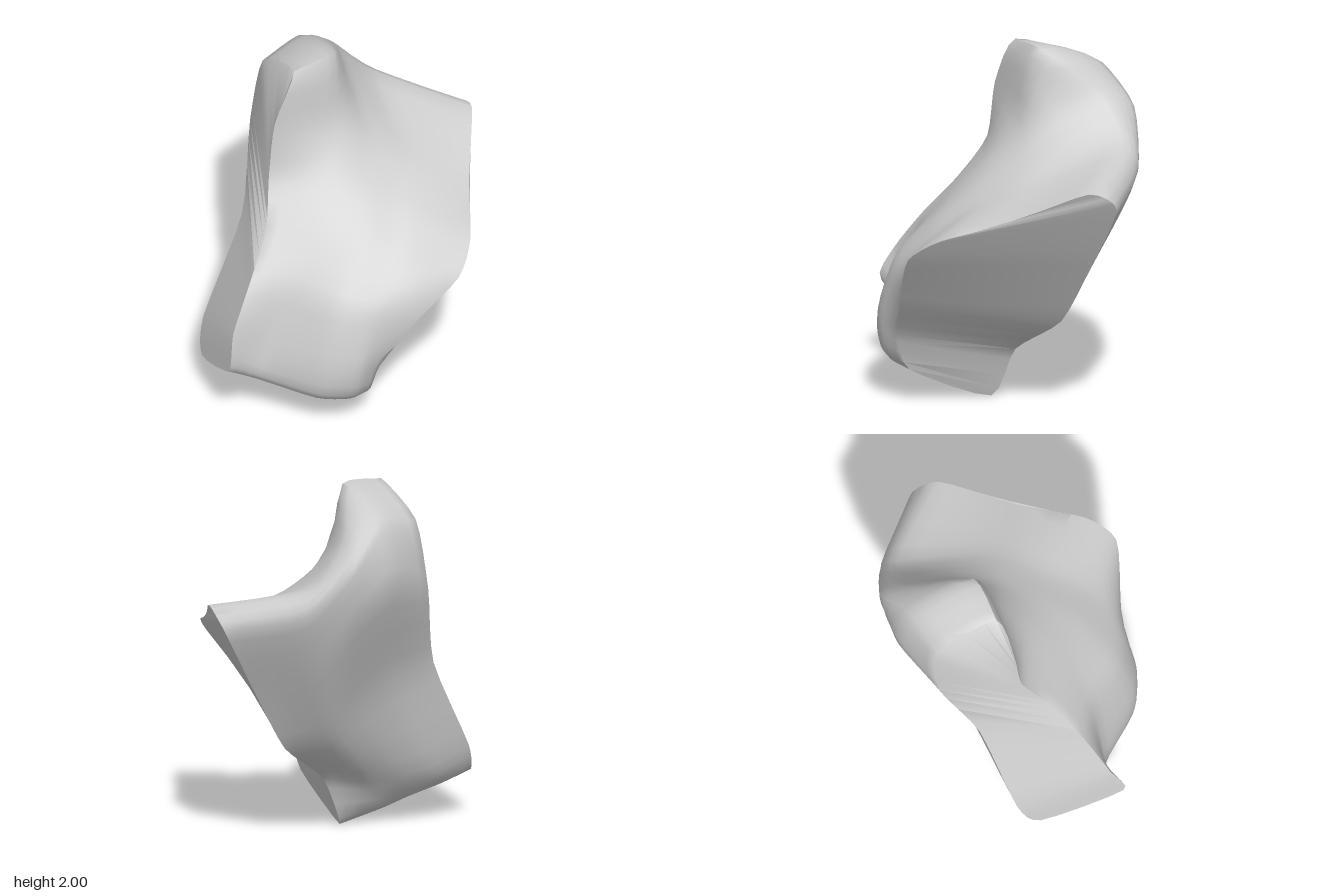
import * as THREE from 'three';
import { toCreasedNormals } from 'three/addons/utils/BufferGeometryUtils.js';

// Cross-sections from the broken right face to the left side.
// Each starts at the lowest corner, climbs the front and descends the back.
const brokenFace = [
  [-0.08, 0, -0.02], [-0.16, 0.2, 0.45], [-0.14, 0.42, 0.54], [0.03, 0.69, 0.62],
  [0.27, 0.98, 0.71], [0.42, 1.11, 0.59], [0.62, 1.22, 0.26], [0.86, 1.39, -0.09],
  [0.88, 1.28, -0.26], [0.66, 0.91, -0.23], [0.41, 0.53, -0.18], [0.08, 0.3, -0.08],
];
const shoulder = [
  [-0.32, 0.07, -0.09], [-0.3, 0.23, 0.49], [-0.28, 0.48, 0.57], [-0.17, 0.79, 0.54],
  [0.07, 1.01, 0.46], [0.2, 1.19, 0.26], [0.38, 1.33, 0.03], [0.5, 1.51, -0.51],
  [0.56, 1.37, -0.58], [0.43, 1, -0.47], [0.2, 0.6, -0.34], [-0.14, 0.26, -0.2],
];
const saddle = [
  [-0.46, 0.13, -0.15], [-0.47, 0.26, 0.42], [-0.44, 0.5, 0.48], [-0.33, 0.83, 0.43],
  [-0.1, 1.08, 0.31], [0.05, 1.27, 0.13], [0.2, 1.44, -0.08], [0.27, 1.75, -0.5],
  [0.31, 1.66, -0.7], [0.28, 1.33, -0.66], [0.09, 0.76, -0.41], [-0.28, 0.3, -0.29],
];
const horn = [
  [-0.62, 0.19, -0.22], [-0.68, 0.31, 0.17], [-0.66, 0.51, 0.19], [-0.49, 0.88, 0.2],
  [-0.28, 1.13, 0.13], [-0.12, 1.35, 0], [0.01, 1.6, -0.15], [0.07, 1.99, -0.25],
  [0.08, 1.86, -0.63], [0.06, 1.5, -0.71], [-0.1, 0.88, -0.45], [-0.46, 0.33, -0.34],
];
const leftSide = [
  [-0.79, 0.25, -0.25], [-0.9, 0.48, 0.2], [-0.84, 0.68, 0.15], [-0.67, 0.92, 0.06],
  [-0.5, 1.14, -0.05], [-0.4, 1.38, -0.18], [-0.35, 1.7, -0.2], [-0.2, 1.98, -0.24],
  [-0.18, 1.82, -0.59], [-0.25, 1.42, -0.61], [-0.41, 0.95, -0.44], [-0.71, 0.42, -0.36],
];

const SUB = 4;    // samples between neighbouring points of a section
const ROWS = 16;  // steps from the first section to the last

const spline = (points, closed) =>
  new THREE.CatmullRomCurve3(points, closed, 'catmullrom', 0.33);

function stoneGeometry() {
  const sections = [brokenFace, shoulder, saddle, horn, leftSide].map((s) =>
    spline(s.map((p) => new THREE.Vector3(...p)), true));
  const n = brokenFace.length * SUB;
  const positions = [];
  const index = [];

  // Smooth strands run through the sections
  const strands = Array.from({ length: n }, (_, k) =>
    spline(sections.map((s) => s.getPoint(k / n)), false));
  for (let r = 0; r <= ROWS; r++) {
    for (const strand of strands) positions.push(...strand.getPoint(r / ROWS).toArray());
  }
  const id = (r, k) => r * n + ((k + n) % n);

  // Skin
  for (let r = 0; r < ROWS; r++) {
    for (let k = 0; k < n; k++) {
      const a = id(r, k), b = id(r, k + 1), c = id(r + 1, k), d = id(r + 1, k + 1);
      index.push(a, b, c, b, d, c);
    }
  }

  // End faces, joined front edge to back edge
  const tri = (flip, a, b, c) => {
    if (a !== b && b !== c && a !== c) index.push(a, flip ? c : b, flip ? b : c);
  };
  for (const r of [0, ROWS]) {
    for (let k = SUB / 2; k < (SUB + n) / 2; k++) {
      const m = SUB - k;
      tri(r > 0, id(r, k), id(r, m), id(r, m - 1));
      tri(r > 0, id(r, k), id(r, m - 1), id(r, k + 1));
    }
  }

  const geometry = new THREE.BufferGeometry();
  geometry.setAttribute('position', new THREE.Float32BufferAttribute(positions, 3));
  geometry.setIndex(index);
  return toCreasedNormals(geometry, 1.05);
}

export function createModel() {
  const group = new THREE.Group();
  group.name = 'stoneFragment';
  const stone = new THREE.Mesh(
    stoneGeometry(), new THREE.MeshStandardMaterial({ color: 0xcccccc }));
  stone.name = 'stone';
  group.add(stone);
  return group;
}
